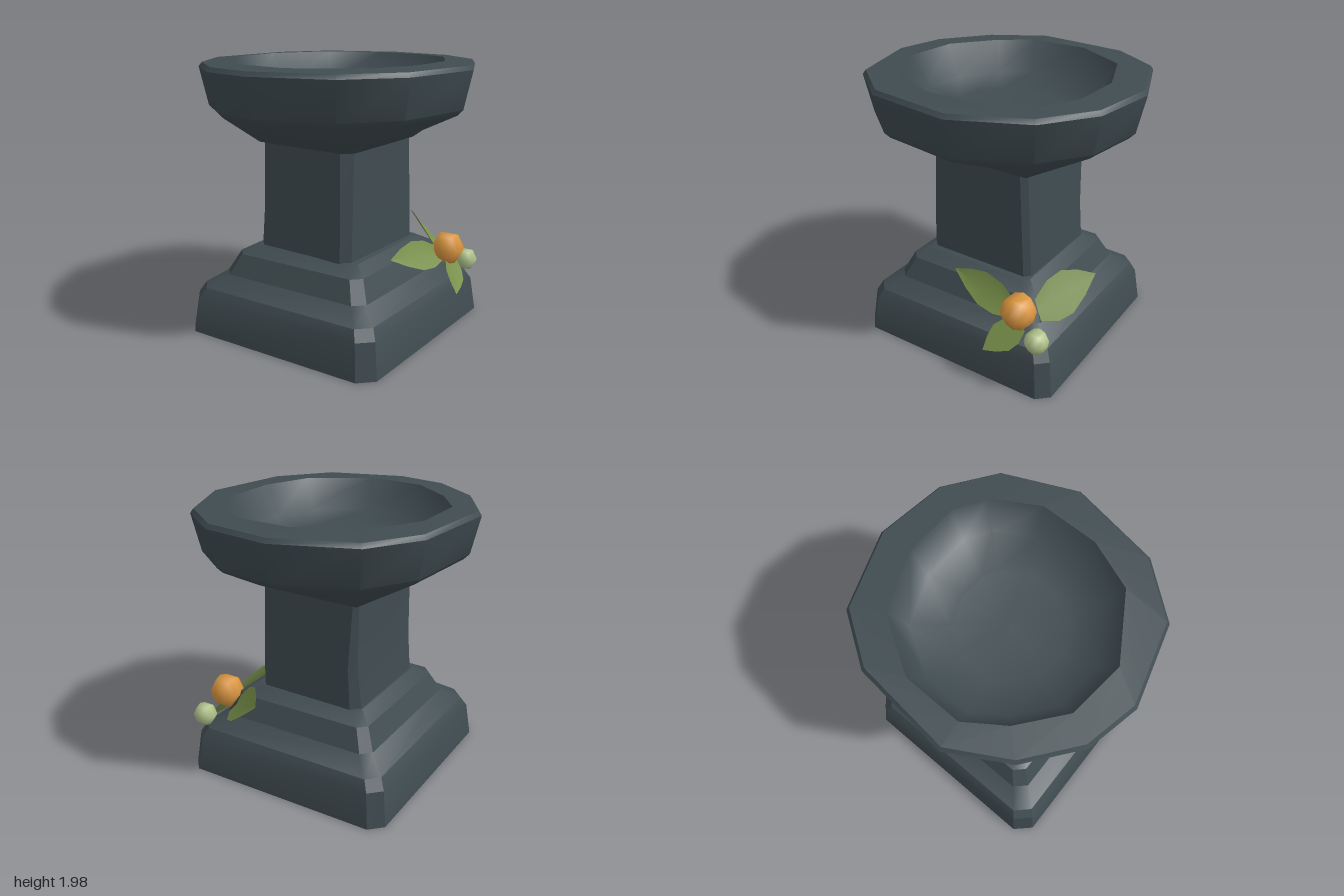
import * as THREE from 'three';
import { toCreasedNormals } from 'three/addons/utils/BufferGeometryUtils.js';

const material = (name, color, side = THREE.FrontSide) => {
  const m = new THREE.MeshStandardMaterial({ color, side });
  m.name = name;
  return m;
};

// Skin a stack of equal-length rings of [x, y, z], skipping collapsed triangles
function skin(rings, crease) {
  const pos = [];
  const same = (a, b) => a.every((v, i) => v === b[i]);
  const tri = (a, b, c) => {
    if (!same(a, b) && !same(b, c) && !same(a, c)) pos.push(...a, ...b, ...c);
  };
  for (let k = 0; k < rings.length - 1; k++) {
    const lo = rings[k], hi = rings[k + 1], n = lo.length;
    for (let i = 0; i < n; i++) {
      const j = (i + 1) % n;
      tri(lo[j], lo[i], hi[i]);
      tri(lo[j], hi[i], hi[j]);
    }
  }
  const g = new THREE.BufferGeometry();
  g.setAttribute('position', new THREE.Float32BufferAttribute(pos, 3));
  return toCreasedNormals(g, crease);
}

// Square ring with cut corners: corners are [x, z, cut] going back-left, back-right, front-right, front-left
function squareRing(corners, scale, y) {
  const ring = [];
  corners.forEach(([x, z, cut], i) => {
    const alongZ = [x, z - Math.sign(z) * cut];
    const alongX = [x - Math.sign(x) * cut, z];
    const pair = i % 2 ? [alongX, alongZ] : [alongZ, alongX];
    pair.forEach(([px, pz]) => ring.push([px * scale, y, pz * scale]));
  });
  return ring;
}

const outline = (points, scale, y) => points.map(([x, z]) => [x * scale, y, z * scale]);

// Folded leaf between base and tip; side is the half-width vector, lift raises the blade's edges
function leafGeometry(base, tip, side, lift) {
  const b = new THREE.Vector3(...base), t = new THREE.Vector3(...tip), s = new THREE.Vector3(...side);
  const normal = t.clone().sub(b).cross(s).normalize();
  const widths = [0.5, 0.95, 1, 0.6, 0];
  const pos = [], index = [];
  widths.forEach((w, i) => {
    const mid = b.clone().lerp(t, i / (widths.length - 1));
    for (const e of [-1, 0, 1]) {
      const p = mid.clone().addScaledVector(s, e * w).addScaledVector(normal, Math.abs(e) * w * lift);
      pos.push(p.x, p.y, p.z);
    }
    if (i) for (const c of [0, 1]) {
      const a = (i - 1) * 3 + c;
      index.push(a, a + 3, a + 1, a + 1, a + 3, a + 4);
    }
  });
  const g = new THREE.BufferGeometry();
  g.setAttribute('position', new THREE.Float32BufferAttribute(pos, 3));
  g.setIndex(index);
  g.computeVertexNormals();
  return g;
}

// Six-sided smooth bead lying along x
const beadGeometry = (radius) =>
  new THREE.SphereGeometry(radius, 6, 6).rotateY(Math.PI / 2).rotateZ(Math.PI / 2).scale(0.94, 1, 1);

export function createModel() {
  const model = new THREE.Group();
  model.name = 'birdbath';
  const stone = material('slate stone', 0x404c51);
  const leafGreen = material('leaf green', 0x78904a, THREE.DoubleSide);
  const orange = material('blossom orange', 0xdc9740);
  const paleGreen = material('bud green', 0xb2c48c);
  const add = (name, geometry, mat, parent = model) => {
    const mesh = new THREE.Mesh(geometry, mat);
    mesh.name = name;
    parent.add(mesh);
    return mesh;
  };

  // Stepped plinth
  const plinth = [[-0.85, -0.82, 0.11], [0.79, -0.83, 0.09], [0.845, 0.78, 0.08], [-0.79, 0.8, 0.1]];
  const steps = [[0, 0], [1, 0], [0.96, 0.26], [0.91, 0.335], [0.755, 0.425], [0.665, 0.575], [0.54, 0.635], [0, 0.635]];
  add('steppedBase', skin(steps.map(([s, y]) => squareRing(plinth, s, y)), 0.45), stone);

  // Tapered pillar, with a worn back-right edge
  const foot = [[-0.44, -0.43, 0.06], [0.43, -0.44, 0.06], [0.44, 0.38, 0.04], [-0.44, 0.38, 0.06]];
  const waist = [[-0.43, -0.41, 0.06], [0.42, -0.405, 0.05], [0.425, 0.38, 0.04], [-0.43, 0.38, 0.06]];
  const head = [[-0.415, -0.41, 0.06], [0.4, -0.41, 0.03], [0.4, 0.375, 0.04], [-0.415, 0.375, 0.07]];
  add('pillar', skin([squareRing(foot, 1, 0.62), squareRing(waist, 1, 0.93), squareRing(head, 1, 1.42)], 0.4), stone);

  // Twelve-sided bowl: square neck, flared underside and rim
  const neck = [[-0.2, -0.415], [0.2, -0.415], [0.41, -0.41], [0.41, -0.08], [0.41, 0.15], [0.41, 0.38],
    [0.1, 0.385], [-0.36, 0.385], [-0.42, 0.32], [-0.42, 0], [-0.42, -0.18], [-0.41, -0.41]];
  const rim = [[-0.28, -0.96], [0.42, -0.9], [0.78, -0.67], [0.995, -0.13], [0.94, 0.37], [0.7, 0.72],
    [0.2, 0.955], [-0.45, 0.86], [-0.82, 0.57], [-1, 0], [-0.93, -0.38], [-0.67, -0.73]];
  const lip = [[-0.25, -0.76], [0.17, -0.76], [0.57, -0.53], [0.74, -0.12], [0.74, 0.27], [0.62, 0.5],
    [0.3, 0.69], [-0.12, 0.7], [-0.47, 0.57], [-0.76, 0.13], [-0.73, -0.28], [-0.5, -0.58]];
  add('bowl', skin([
    outline(neck, 0, 1.4), outline(neck, 1, 1.4),
    outline(rim, 0.9, 1.63), outline(rim, 0.94, 1.67),
    outline(rim, 1, 1.94), outline(rim, 0.978, 1.97), outline(lip, 1, 1.98),
  ], 0.65), stone);

  // Smooth hollow inside the rim
  add('basin', skin([
    outline(lip, 1, 1.98), outline(lip, 0.84, 1.76), outline(lip, 0.5, 1.71), outline(lip, 0, 1.7),
  ], 1.4), stone);

  // Blossom sprig on the front corner
  const sprig = new THREE.Group();
  sprig.name = 'sprig';
  model.add(sprig);
  add('blossom', beadGeometry(0.131), orange, sprig).position.set(0.533, 0.545, 0.64);
  add('bud', beadGeometry(0.089), paleGreen, sprig).position.set(0.722, 0.415, 0.705);
  add('longLeaf', leafGeometry([0.47, 0.51, 0.6], [-0.1, 0.6, 0.52], [0, 0.1, -0.06], -0.02), leafGreen, sprig);
  add('upperLeaf', leafGeometry([0.6, 0.5, 0.5], [0.835, 0.69, 0.13], [-0.085, 0.115, -0.05], 0.025), leafGreen, sprig);
  add('lowerLeaf', leafGeometry([0.57, 0.46, 0.66], [0.36, 0.26, 0.82], [-0.085, 0.055, -0.03], -0.01), leafGreen, sprig);
  return model;
}
